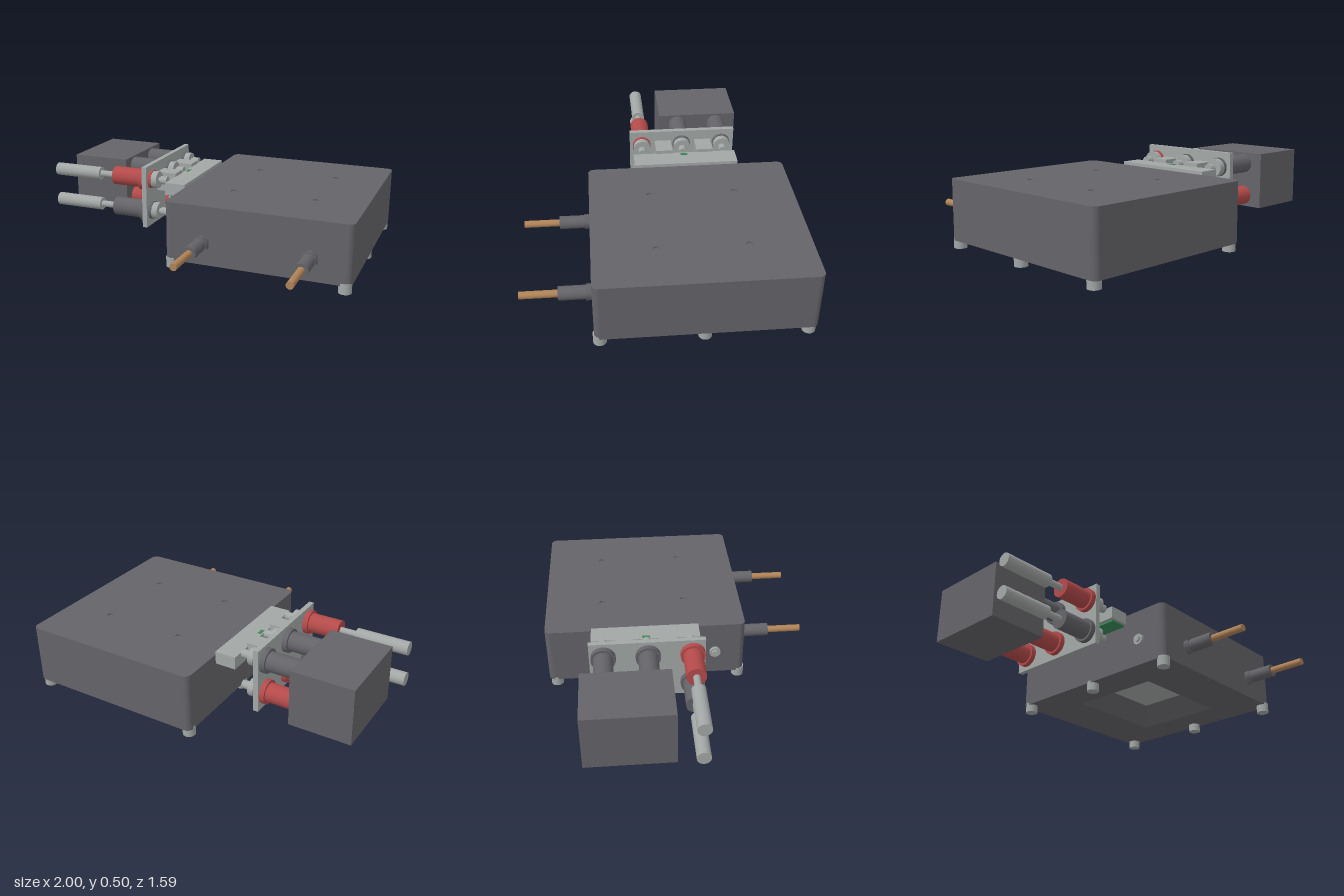
import * as THREE from 'three';

const mat = (name, color, extra = {}) =>
  Object.assign(new THREE.MeshStandardMaterial({ color, ...extra }), { name });

export function createModel() {
  const dark = mat('dark grey', 0x646368, { side: THREE.DoubleSide });
  const metal = mat('light metal', 0xa2a7a6);
  const red = mat('red', 0xb44a4a);
  const copper = mat('copper', 0xb08358);
  const green = mat('board green', 0x3a8a58);

  const model = new THREE.Group();
  model.name = 'terminalBox';

  const add = (name, geometry, material, parent = model) => {
    const mesh = new THREE.Mesh(geometry, material);
    mesh.name = name;
    parent.add(mesh);
    return mesh;
  };
  // Box given by its extents along each axis
  const box = (name, material, [x0, x1], [y0, y1], [z0, z1]) => {
    const g = new THREE.BoxGeometry(x1 - x0, y1 - y0, z1 - z0);
    g.translate((x0 + x1) / 2, (y0 + y1) / 2, (z0 + z1) / 2);
    return add(name, g, material);
  };
  // Cylinder from a to b along one axis, centred at (u, v) on the other two axes in xyz order
  const rod = (name, material, axis, a, b, r, u, v, sides = 32, parent = model) => {
    const g = new THREE.CylinderGeometry(r, r, b - a, sides);
    const mid = (a + b) / 2;
    if (axis === 'x') g.rotateZ(-Math.PI / 2).translate(mid, u, v);
    else if (axis === 'y') g.translate(u, mid, v);
    else g.rotateX(Math.PI / 2).translate(u, v, mid);
    return add(name, g, material, parent);
  };

  // Housing outline with rounded vertical edges, drawn in x and -z
  const outline = () => {
    const [x0, x1, y0, y1, r] = [-0.095, 0.995, -0.4, 0.795, 0.035];
    const s = new THREE.Shape();
    s.moveTo(x0 + r, y0).lineTo(x1 - r, y0);
    s.absarc(x1 - r, y0 + r, r, -Math.PI / 2, 0);
    s.absarc(x1 - r, y1 - r, r, 0, Math.PI / 2);
    s.absarc(x0 + r, y1 - r, r, Math.PI / 2, Math.PI);
    s.absarc(x0 + r, y0 + r, r, Math.PI, Math.PI * 1.5);
    return s;
  };
  const slab = (name, shape, y0, y1) => {
    const g = new THREE.ExtrudeGeometry(shape, { depth: y1 - y0, bevelEnabled: false, curveSegments: 8 });
    g.rotateX(-Math.PI / 2).translate(0, y0, 0);
    return add(name, g, dark);
  };

  // Housing: lower shell with a rectangular opening, lid with screw holes
  const [cx, cz, hw, hd] = [0.45, -0.19, 0.32, 0.285];
  const lower = outline();
  lower.holes.push(new THREE.Path([
    [cx - hw, -cz - hd], [cx - hw, -cz + hd], [cx + hw, -cz + hd], [cx + hw, -cz - hd],
  ].map(([x, y]) => new THREE.Vector2(x, y))));
  slab('housingShell', lower, 0.047, 0.3);

  const lid = outline();
  const screws = [0.2, 0.7].flatMap((x) => [-0.45, 0.05].map((z) => [x, z]));
  for (const [x, z] of screws) {
    lid.holes.push(new THREE.Path().absarc(x, -z, 0.019, 0, Math.PI * 2, true));
  }
  slab('housingLid', lid, 0.3, 0.398);
  for (const [x, z] of screws) rod('lidScrew', dark, 'y', 0.305, 0.39, 0.019, x, z, 20);

  // Tapered recess in the underside, closed by a metal plate
  const inset = 0.7;
  const hopper = new THREE.CylinderGeometry(Math.SQRT2 * inset, Math.SQRT2, 0.12, 4, 1, true)
    .toNonIndexed();
  hopper.rotateY(Math.PI / 4).scale(hw, 1, hd).translate(cx, 0.107, cz);
  hopper.computeVertexNormals();
  add('recessWalls', hopper, dark);
  box('recessPlate', metal, [cx - hw * inset, cx + hw * inset], [0.165, 0.18],
    [cz - hd * inset, cz + hd * inset]);

  // Feet
  for (const x of [-0.06, 0.957]) {
    for (const z of [-0.75, -0.19, 0.37]) rod('foot', metal, 'y', 0, 0.06, 0.037, x, z);
  }

  // Front pipe fittings
  for (const x of [0.135, 0.765]) {
    rod('fittingNut', dark, 'z', 0.395, 0.435, 0.048, x, 0.18, 6);
    rod('fittingSleeve', dark, 'z', 0.43, 0.583, 0.039, x, 0.18);
    rod('copperPipe', copper, 'z', 0.5, 0.792, 0.021, x, 0.18);
  }

  // Small side connector
  rod('sideConnectorBase', metal, 'x', -0.112, -0.09, 0.033, 0.205, 0.22);
  rod('sideConnectorTip', metal, 'x', -0.125, -0.1, 0.02, 0.205, 0.22);

  // Bracket carrying the terminal plate
  box('bracketBar', metal, [-0.22, -0.093], [0.342, 0.417], [-0.52, 0.115]);
  for (const z of [-0.33, -0.078]) {
    box('bracketTab', metal, [-0.345, -0.215], [0.32, 0.438], [z - 0.051, z + 0.051]);
  }
  box('circuitBoard', green, [-0.2, -0.093], [0.331, 0.343], [-0.5, 0.1]);
  box('boardMarker', green, [-0.21, -0.19], [0.414, 0.419], [-0.222, -0.178]);
  rod('boardContact', copper, 'y', 0.3, 0.333, 0.02, -0.125, -0.2);
  box('terminalPlate', metal, [-0.37, -0.34], [0.12, 0.503], [-0.53, 0.13]);

  // Binding posts: two rows of three
  const post = (y, z, colour) => {
    const g = new THREE.Group();
    g.name = 'bindingPost';
    model.add(g);
    const part = (name, m, a, b, r) => rod(name, m, 'x', a, b, r, y, z, 32, g);
    part('postBarrel', colour, -0.585, -0.395, 0.057);
    part('postFlange', colour, -0.4, -0.368, 0.071);
    part('postInsulator', colour, -0.342, -0.322, 0.056);
    part('postNut', metal, -0.324, -0.285, 0.052);
    part('postStem', metal, -0.29, -0.265, 0.016);
    part('postTip', metal, -0.272, -0.23, 0.025);
  };
  for (const z of [-0.45, -0.197, 0.056]) {
    const front = z > 0;
    post(0.414, z, front ? red : dark);
    post(0.214, z, front ? dark : red);
  }

  // Plug pins in the front pair of posts
  for (const y of [0.414, 0.214]) {
    rod('plugPin', metal, 'x', -0.7, -0.58, 0.02, y, 0.056);
    rod('plugHandle', metal, 'x', -1, -0.687, 0.04, y, 0.056);
  }

  // Plug-in block on the rear four posts
  box('plugBlock', dark, [-0.948, -0.583], [0.145, 0.48], [-0.577, -0.078]);

  return model;
}
